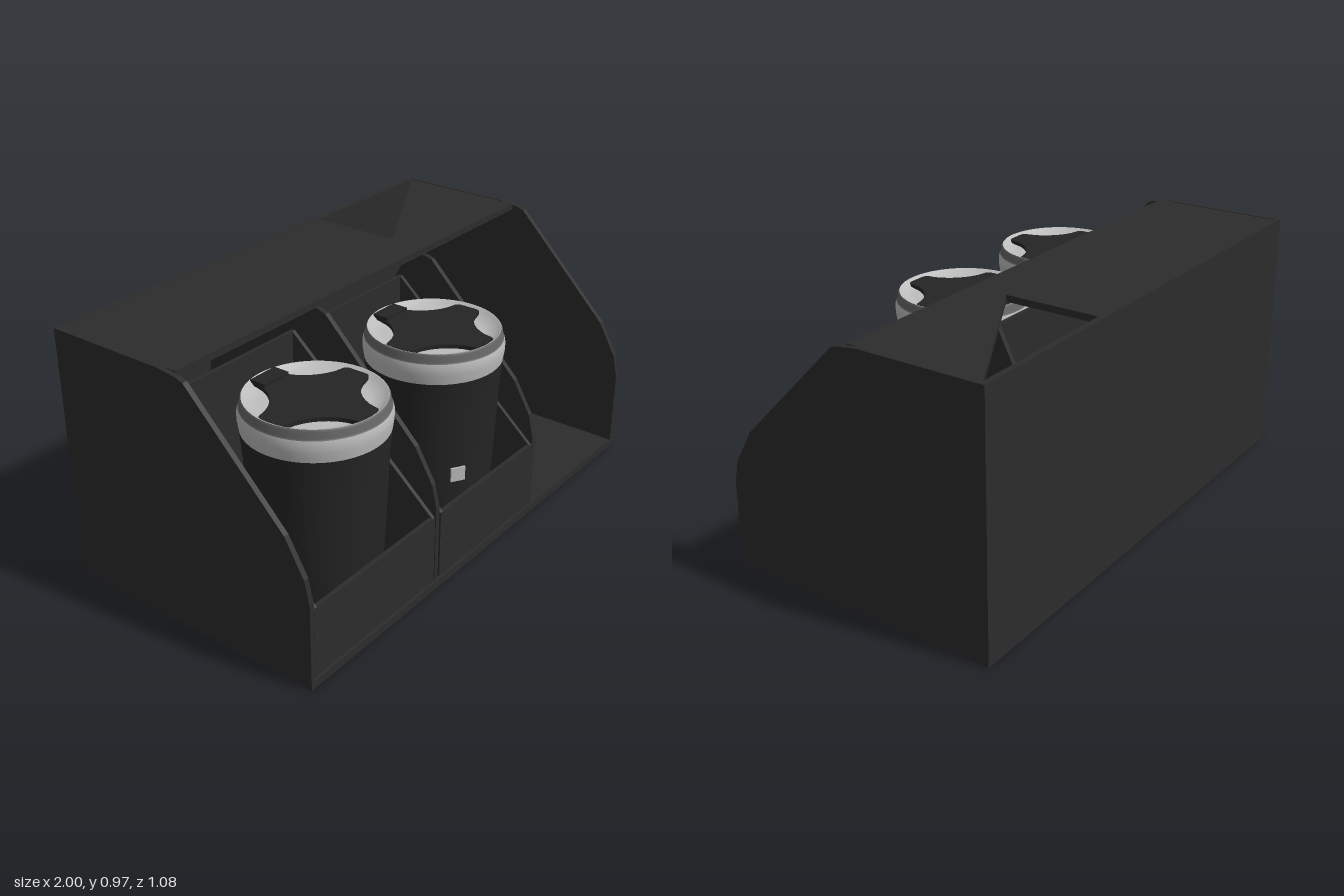
import * as THREE from 'three';

const mat = (name, color, side = THREE.FrontSide) => {
  const m = new THREE.MeshStandardMaterial({ color, side });
  m.name = name;
  return m;
};

export function createModel() {
  const root = new THREE.Group();
  const charcoal = mat('charcoal', 0x2c2c2c);
  const black = mat('soft black', 0x252525);
  const silver = mat('light grey', 0xbcbcbc, THREE.DoubleSide);
  const lidGrey = mat('lid grey', 0x666666, THREE.DoubleSide);

  function add(parent, name, geo, material, x = 0, y = 0, z = 0) {
    const m = new THREE.Mesh(geo, material);
    m.name = name;
    m.position.set(x, y, z);
    parent.add(m);
    return m;
  }
  // box given by its two extreme corners
  function box(parent, name, material, a, b) {
    return add(parent, name, new THREE.BoxGeometry(b[0] - a[0], b[1] - a[1], b[2] - a[2]), material,
      (a[0] + b[0]) / 2, (a[1] + b[1]) / 2, (a[2] + b[2]) / 2);
  }
  const shapeOf = pts => new THREE.Shape(pts.map(p => new THREE.Vector2(p[0], p[1])));
  // upright panel from a (z, y) outline, spanning x0..x1
  function sidePanel(parent, name, pts, x0, x1) {
    const g = new THREE.ExtrudeGeometry(shapeOf(pts), { depth: x1 - x0, bevelEnabled: false });
    g.rotateY(-Math.PI / 2);
    return add(parent, name, g, charcoal, x1);
  }

  // outer case
  const profile = [[-0.54, 0], [0.54, 0], [0.54, 0.33], [0.52, 0.42], [0.445, 0.55],
    [0.05, 0.95], [0.02, 0.96], [-0.06, 0.97], [-0.54, 0.97]];
  const inner = profile.map(([z, y]) => [z * 0.985, 0.01 + y * 0.975]);
  const shell = new THREE.Group();
  shell.name = 'case';
  root.add(shell);
  sidePanel(shell, 'rightWall', profile, -1, -0.98);
  sidePanel(shell, 'leftWall', profile, 0.98, 1);
  box(shell, 'floor', charcoal, [-0.98, 0, -0.54], [0.98, 0.03, 0.54]);
  box(shell, 'backWall', charcoal, [-0.98, 0.03, -0.54], [0.98, 0.97, -0.52]);

  // roof with a triangular opening over the empty bay
  const roof = shapeOf([[-0.98, -0.52], [0.98, -0.52], [0.98, 0], [-0.98, 0]]);
  roof.holes.push(new THREE.Path([[0.345, -0.515], [0.345, -0.15], [0.975, -0.515]]
    .map(p => new THREE.Vector2(p[0], p[1]))));
  const roofGeo = new THREE.ExtrudeGeometry(roof, { depth: 0.025, bevelEnabled: false });
  roofGeo.rotateX(Math.PI / 2);
  add(shell, 'roof', roofGeo, charcoal, 0, 0.968, 0);

  // dividers between the three bays
  sidePanel(shell, 'divider', inner, -0.31, -0.29);
  sidePanel(shell, 'bayDivider', [[-0.52, 0.03], [0.53, 0.03], ...inner.slice(2, 7), [-0.06, 0.945]], 0.325, 0.345);

  // sloping corner panel in the empty bay
  const corner = new THREE.BufferGeometry();
  corner.setAttribute('position', new THREE.Float32BufferAttribute(
    [0.345, 0.03, -0.519, 0.98, 0.945, -0.519, 0.345, 0.945, -0.06], 3));
  corner.computeVertexNormals();
  add(shell, 'cornerPanel', corner, charcoal);

  // sloped tray filling one bay
  function tray(x0, x1) {
    const g = new THREE.Group();
    g.name = 'tray';
    root.add(g);
    const side = [[-0.085, 0.035], [0.53, 0.035], [0.53, 0.3], [-0.085, 0.84]];
    sidePanel(g, 'traySide', side, x0, x0 + 0.015);
    sidePanel(g, 'traySide', side, x1 - 0.015, x1);
    box(g, 'trayLip', charcoal, [x0, 0.035, 0.515], [x1, 0.3, 0.532]);
    box(g, 'trayBack', charcoal, [x0, 0.035, -0.1], [x1, 0.84, -0.085]);
    box(g, 'trayFloor', charcoal, [x0, 0.03, -0.085], [x1, 0.045, 0.515]);
  }
  tray(-0.97, -0.315);
  tray(-0.28, 0.325);

  // four-armed lid cover
  const cross = new THREE.Shape();
  const w = 0.055, r = 0.225;
  for (let i = 0; i < 4; i++) {
    const a = i * Math.PI / 2, c = Math.cos(a), s = Math.sin(a);
    const p = (u, v) => [u * c - v * s, u * s + v * c];
    if (i === 0) cross.moveTo(...p(r - 0.025, -w));
    cross.quadraticCurveTo(...p(r, -w), ...p(r, -w + 0.025));
    cross.lineTo(...p(r, w - 0.025));
    cross.quadraticCurveTo(...p(r, w), ...p(r - 0.025, w));
    cross.bezierCurveTo(...p(0.13, w + 0.01), ...p(w + 0.01, 0.13), ...p(w, r - 0.025));
  }
  const crossGeo = new THREE.ExtrudeGeometry(cross, { depth: 0.015, bevelEnabled: false, curveSegments: 8 });
  crossGeo.rotateX(Math.PI / 2);
  const lathe = pts => new THREE.LatheGeometry(pts.map(p => new THREE.Vector2(p[0], p[1])), 48);

  // tapered tumbler with light band and lid
  function tumbler(x) {
    const g = new THREE.Group();
    g.name = 'tumbler';
    g.position.set(x, 0, 0.257);
    root.add(g);
    add(g, 'cupBody', lathe([[0, 0.046], [0.2, 0.046], [0.215, 0.07], [0.23, 0.3], [0.243, 0.6], [0.252, 0.71]]), black);
    add(g, 'cupBand', lathe([[0.252, 0.71], [0.257, 0.745], [0.257, 0.77], [0.252, 0.787]]), silver);
    add(g, 'lidWall', lathe([[0.252, 0.787], [0.248, 0.792], [0.246, 0.815], [0.241, 0.822]]), lidGrey);
    add(g, 'lidBowl', lathe([[0, 0.795], [0.18, 0.795], [0.215, 0.803], [0.235, 0.82], [0.241, 0.822]]), silver);
    add(g, 'lidCross', crossGeo, black, 0, 0.815, 0);
    box(g, 'lidTab', black, [-0.06, 0.805, -0.228], [0.06, 0.826, -0.165]);
  }
  tumbler(-0.617);
  tumbler(0.05);

  // small label on one tumbler
  const tag = add(root, 'label', new THREE.BoxGeometry(0.055, 0.055, 0.008), silver, -0.07, 0.333, 0.459);
  tag.rotation.y = -0.54;

  return root;
}
